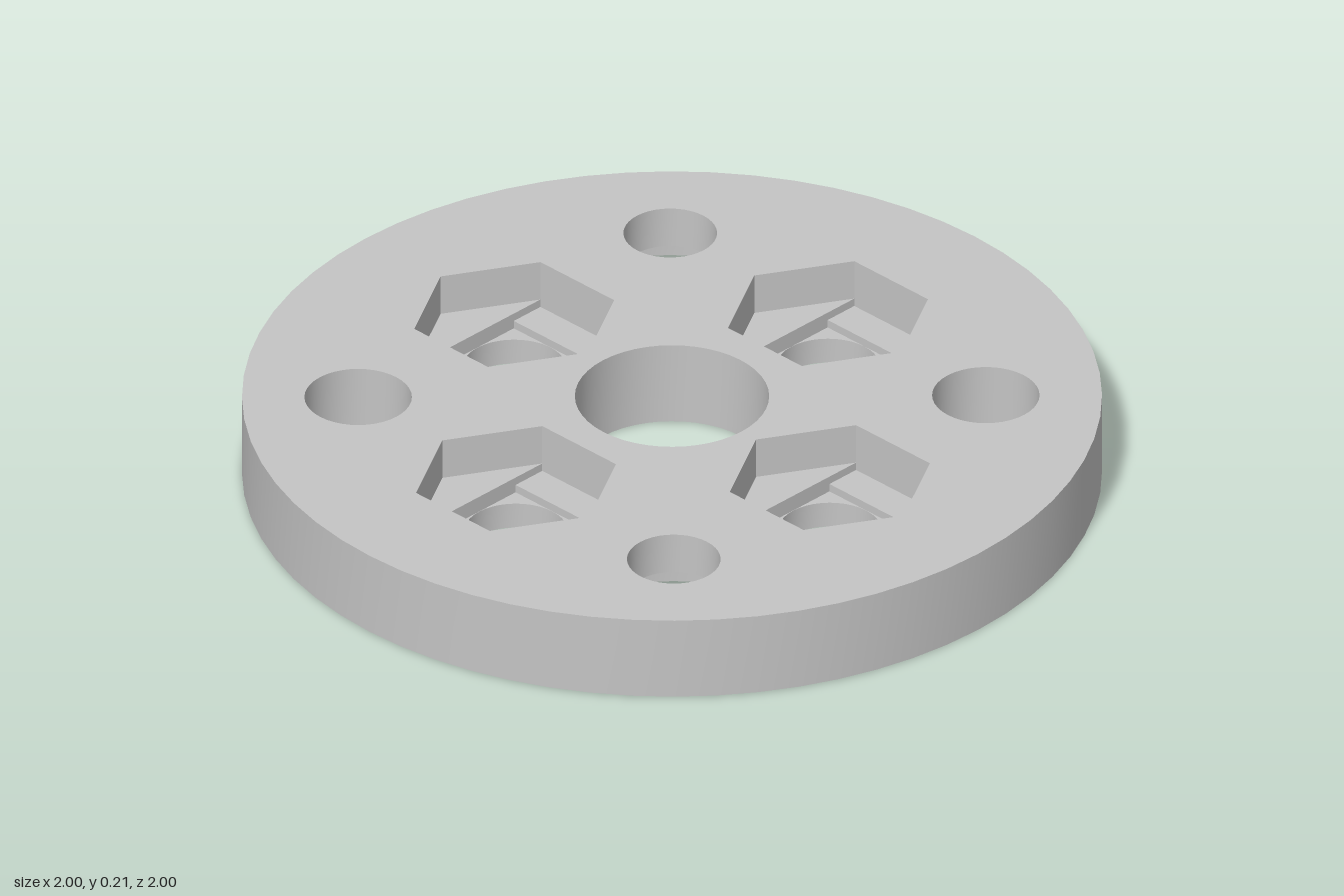
import * as THREE from 'three';
import { mergeGeometries } from 'three/addons/utils/BufferGeometryUtils.js';

const TOP = 0.207, OFF = 0.516;
const HEX = 0.241, HALF = HEX / 2, FLAT = HEX * Math.sqrt(3) / 2, BORE = 0.12;

// Closed loop of [x, z] points
const loop = (r, n, cx = 0, cz = 0) => Array.from({ length: n }, (_, i) => {
  const t = i / n * Math.PI * 2;
  return [cx + r * Math.cos(t), cz + r * Math.sin(t)];
});
const rect = (hx, hz, cx, cz) =>
  [[1, 1], [-1, 1], [-1, -1], [1, -1]].map(([a, b]) => [cx + a * hx, cz + b * hz]);

// Wall between two loops: outward when a is below b, inward when a is above b
function wall(a, ya, b, yb, smooth) {
  const n = a.length, pos = [], idx = [];
  for (let i = 0; i < n; i++) {
    pos.push(a[i][0], ya, a[i][1], b[i][0], yb, b[i][1]);
    const j = (i + 1) % n;
    idx.push(2 * i, 2 * i + 1, 2 * j, 2 * i + 1, 2 * j + 1, 2 * j);
  }
  let g = new THREE.BufferGeometry();
  g.setAttribute('position', new THREE.Float32BufferAttribute(pos, 3));
  g.setIndex(idx);
  if (!smooth) g = g.toNonIndexed();
  g.computeVertexNormals();
  return smooth ? g.toNonIndexed() : g;
}

// Horizontal face with holes, facing up or down
function face(outer, holes, y, up = true) {
  const pts = (l) => l.map(([x, z]) => new THREE.Vector2(x, up ? -z : z));
  const shape = new THREE.Shape(pts(outer));
  shape.holes = holes.map((h) => new THREE.Path(pts(h)));
  const g = new THREE.ShapeGeometry(shape).toNonIndexed();
  g.deleteAttribute('uv');
  return g.rotateX(up ? -Math.PI / 2 : Math.PI / 2).translate(0, y, 0);
}

export function createModel() {
  const group = new THREE.Group();
  const grey = new THREE.MeshStandardMaterial({ color: 0xc4c4c4 });
  grey.name = 'grey';
  const add = (name, ...geos) => {
    const mesh = new THREE.Mesh(geos.length > 1 ? mergeGeometries(geos) : geos[0], grey);
    mesh.name = name;
    group.add(mesh);
  };

  const rim = loop(1, 64), centre = loop(0.226, 48);
  const topHoles = [centre], bottomHoles = [centre];
  add('rim', wall(rim, 0, rim, TOP, true));
  add('centreBore', wall(centre, TOP, centre, 0, true));

  // Hexagonal nut pockets stepping down through a slot and a square to a bore
  const yHex = 0.105, ySlot = 0.085, ySquare = 0.065;
  for (const [cx, cz] of [[OFF, 0], [-OFF, 0], [0, OFF], [0, -OFF]]) {
    const hex = loop(HEX, 6, cx, cz);
    const slot = rect(HALF, FLAT, cx, cz);
    const square = rect(HALF, HALF, cx, cz);
    const bore = loop(BORE, 40, cx, cz);
    const ledges = [1, -1].flatMap((s) => [
      face([[cx + s * HEX, cz], [cx + s * HALF, cz + FLAT], [cx + s * HALF, cz - FLAT]], [], yHex),
      face(rect(HALF, (FLAT - HALF) / 2, cx, cz + s * (FLAT + HALF) / 2), [], ySlot),
    ]);
    add('nutPocket',
      wall(hex, TOP, hex, yHex),
      wall(slot, yHex, slot, ySlot),
      wall(square, ySlot, square, ySquare),
      face(square, [bore], ySquare), ...ledges);
    add('nutBore', wall(bore, ySquare, bore, 0, true));
    topHoles.push(hex);
    bottomHoles.push(bore);
  }

  // Plain holes on one diagonal, countersunk from below on the other
  for (const s of [1, -1]) {
    const plain = loop(0.125, 40, s * OFF, -s * OFF);
    add('plainHole', wall(plain, TOP, plain, 0, true));
    const shaft = loop(0.109, 40, s * 0.513, s * 0.513);
    const head = loop(0.24, 40, s * 0.513, s * 0.513);
    add('screwHole', wall(shaft, TOP, shaft, 0.105, true));
    add('countersink', wall(shaft, 0.105, head, 0.043, true), wall(head, 0.043, head, 0, true));
    topHoles.push(plain, shaft);
    bottomHoles.push(plain, head);
  }

  add('topFace', face(rim, topHoles, TOP));
  add('bottomFace', face(rim, bottomHoles, 0, false));
  return group;
}
